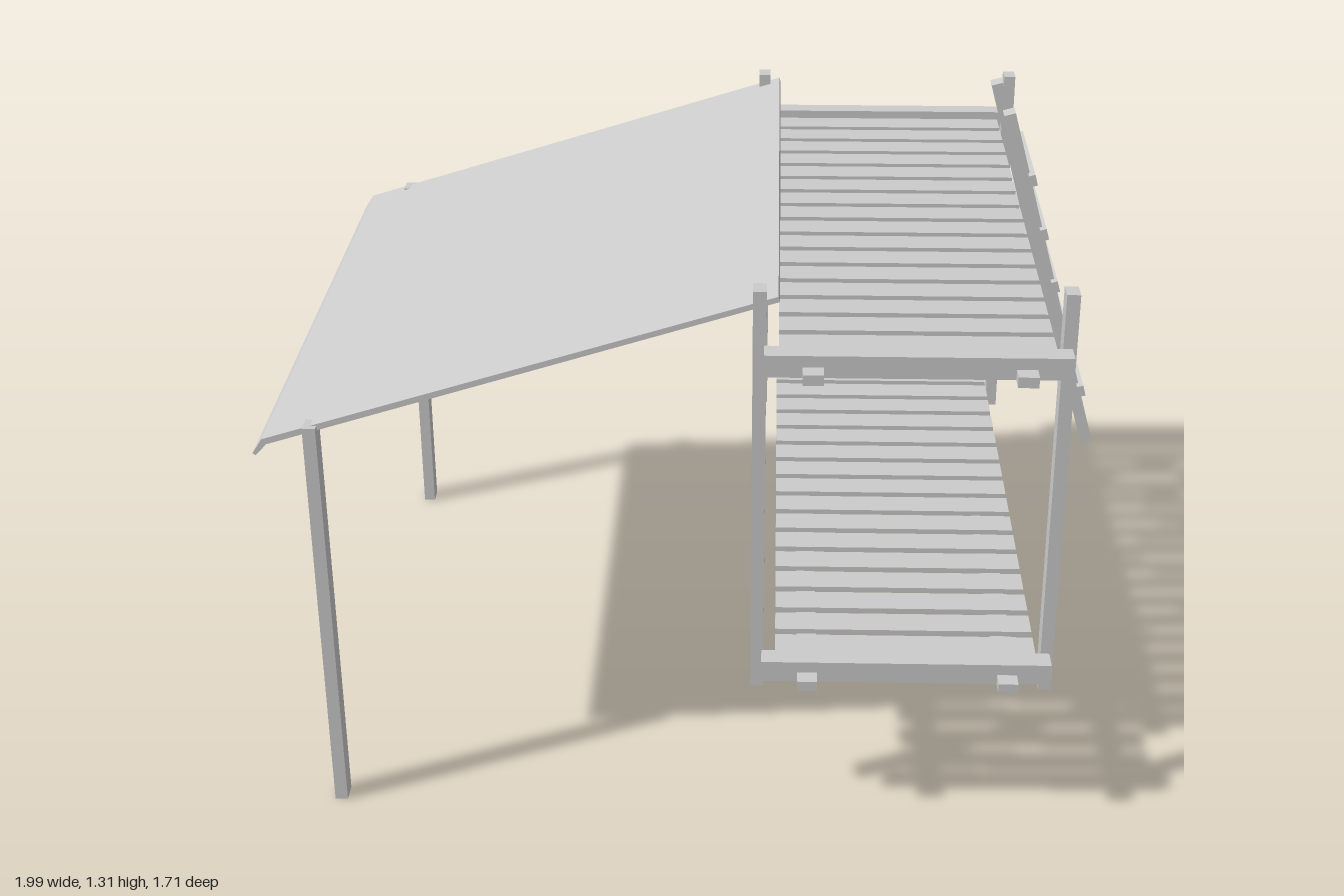
import * as THREE from 'three';

const material = new THREE.MeshStandardMaterial({ color: 0xcccccc, flatShading: true });

// Box given by its centre and size
function addBox(parent, name, [x, y, z], [w, h, d]) {
  const mesh = new THREE.Mesh(new THREE.BoxGeometry(w, h, d), material);
  mesh.name = name;
  mesh.position.set(x, y, z);
  parent.add(mesh);
  return mesh;
}

function addGroup(parent, name) {
  const group = new THREE.Group();
  group.name = name;
  parent.add(group);
  return group;
}

// One bunk: two long rails, cross slats and a board at each end
function addBunk(parent, name, y) {
  const bunk = addGroup(parent, name);
  for (const x of [0.2125, 0.6575]) addBox(bunk, 'bunkRail', [x, y + 0.012, 0], [0.044, 0.024, 1.706]);
  for (const side of [-1, 1]) addBox(bunk, 'endBoard', [0.4325, y + 0.025, side * 0.79], [0.645, 0.05, 0.05]);
  const count = 16;
  for (let i = 0; i < count; i++) {
    const z = (i - (count - 1) / 2) * 0.0948;
    addBox(bunk, 'slat', [0.434, y + 0.03, z], [0.586, 0.012, 0.072]);
  }
}

// Leaning ladder with rungs on its outer face
function addLadder(parent) {
  const ladder = addGroup(parent, 'ladder');
  const stiles = [
    { z: -0.408, top: [0.722, 1.305], bottom: [0.98, 0.379] },
    { z: -0.643, top: [0.71, 1.309], bottom: [0.969, 0.371] },
  ];
  for (const { z, top, bottom } of stiles) {
    const dx = bottom[0] - top[0];
    const dy = top[1] - bottom[1];
    const stile = addBox(ladder, 'ladderStile',
      [(top[0] + bottom[0]) / 2, (top[1] + bottom[1]) / 2, z], [0.03, Math.hypot(dx, dy), 0.046]);
    stile.rotation.z = Math.atan2(dx, dy);
  }
  const rungs = [[0.789, 1.136], [0.827, 0.988], [0.865, 0.842], [0.905, 0.695], [0.953, 0.542]];
  for (const [x, y] of rungs) {
    addBox(ladder, 'rung', [x, y, -0.532], [0.017, 0.03, 0.338]).rotation.z = 0.27;
  }
}

export function createModel() {
  const model = new THREE.Group();
  model.name = 'bunkBedWithAwning';

  // Posts: two carrying the awning, four carrying the bunks
  for (const side of [-1, 1]) {
    const z = side * 0.732;
    addBox(model, 'awningPost', [-0.87, 0.485, z], [0.029, 0.97, 0.047]);
    for (const x of [0.1, 0.751]) addBox(model, 'bunkPost', [x, 0.816, z], [0.029, 0.97, 0.047]);
  }

  addBunk(model, 'lowerBunk', 0.382);
  addBunk(model, 'upperBunk', 1.133);
  addLadder(model);

  // Sloping awning sheet with a drooping front lip
  const profile = new THREE.Shape([
    [0.142, 1.272], [0.139, 1.284], [-0.978, 0.936], [-1, 0.902], [-0.994, 0.897], [-0.968, 0.924],
  ].map(([x, y]) => new THREE.Vector2(x, y)));
  const sheet = new THREE.ExtrudeGeometry(profile, { depth: 1.48, bevelEnabled: false });
  sheet.translate(0, 0, -0.74);
  const awning = new THREE.Mesh(sheet, material);
  awning.name = 'awning';
  model.add(awning);

  return model;
}
